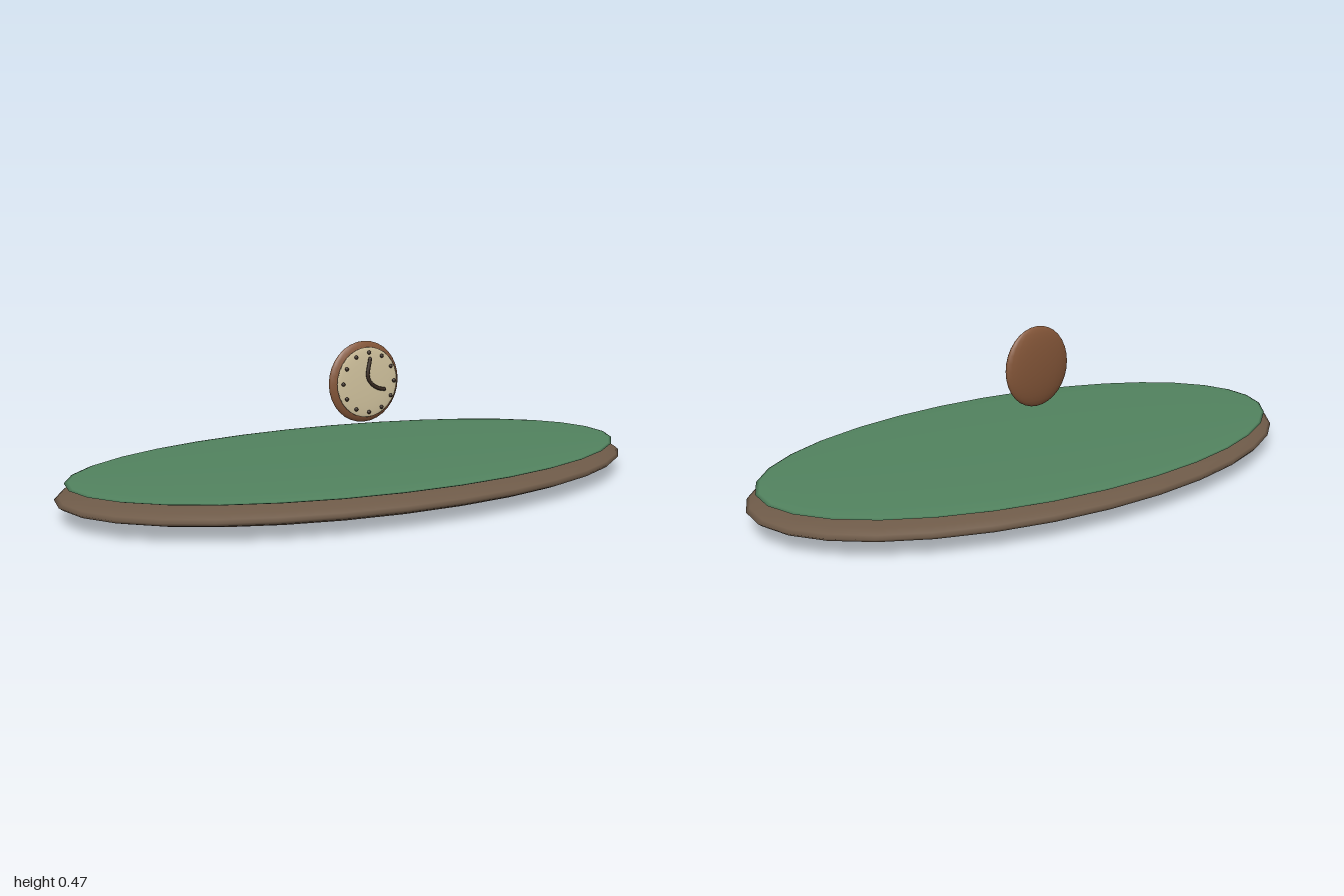
import * as THREE from 'three';

const mat = (name, color) => {
  const m = new THREE.MeshStandardMaterial({ color });
  m.name = name;
  return m;
};

export function createModel() {
  const earth = mat('earth brown', 0x6f5b49);
  const grass = mat('grass green', 0x52835f);
  const wood = mat('warm wood', 0x87583a);
  const cream = mat('cream', 0xd8c9a3);
  const dark = mat('dark brown', 0x3a2c22);

  // Squashed sphere with the given half sizes
  const ellipsoid = (name, material, size, pos, ws = 32, hs = 20) => {
    const mesh = new THREE.Mesh(new THREE.SphereGeometry(1, ws, hs).scale(...size), material);
    mesh.name = name;
    mesh.position.set(...pos);
    return mesh;
  };

  const model = new THREE.Group();
  model.name = 'clockOnIsland';

  // Oval ground with a grassy cap
  model.add(ellipsoid('groundBase', earth, [1, 0.058, 0.545], [0, 0.058, 0]));
  model.add(ellipsoid('grassTop', grass, [0.97, 0.019, 0.525], [0, 0.103, 0]));

  // Floating clock
  const clock = new THREE.Group();
  clock.name = 'clock';
  clock.position.y = 0.34;
  model.add(clock);
  clock.add(ellipsoid('clockBody', wood, [0.13, 0.13, 0.022], [0, 0, 0], 24, 16));
  clock.add(ellipsoid('clockFace', cream, [0.112, 0.112, 0.006], [0, 0, 0.021], 24, 16));

  // Twelve hour dots
  for (let i = 0; i < 12; i++) {
    const a = (i / 12) * Math.PI * 2;
    clock.add(ellipsoid('hourDot', dark, [0.0065, 0.0065, 0.005],
      [Math.sin(a) * 0.095, Math.cos(a) * 0.095, 0.031], 10, 8));
  }

  // Both hands as one bent rod with rounded tips
  const points = [[0, 0.076], [-0.008, 0.02], [0.005, -0.003], [0.03, -0.019], [0.053, -0.024]]
    .map(([x, y]) => new THREE.Vector3(x, y, 0.037));
  const hands = new THREE.Mesh(
    new THREE.TubeGeometry(new THREE.CatmullRomCurve3(points), 24, 0.006, 8), dark);
  hands.name = 'clockHands';
  clock.add(hands);
  for (const p of [points[0], points[4]]) {
    clock.add(ellipsoid('handTip', dark, [0.006, 0.006, 0.006], p.toArray(), 10, 8));
  }

  return model;
}
